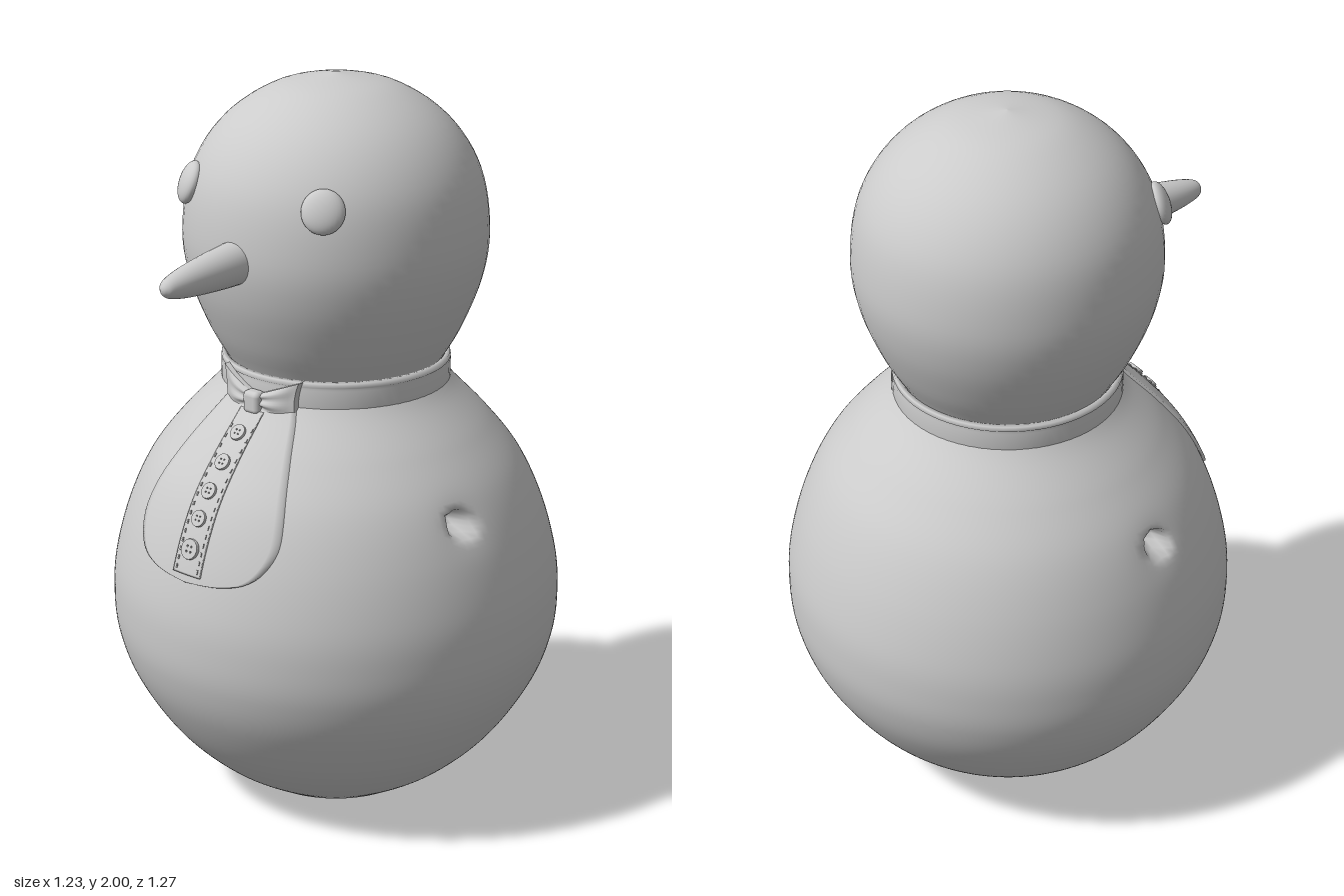
import * as THREE from 'three';
import { mergeVertices } from 'three/addons/utils/BufferGeometryUtils.js';
import { RoundedBoxGeometry } from 'three/addons/geometries/RoundedBoxGeometry.js';

const AXIS_Z = -0.02; // the snowballs sit slightly behind the origin
const material = new THREE.MeshStandardMaterial({ color: 0xcccccc });
const clothMaterial = new THREE.MeshStandardMaterial({ color: 0xcccccc, side: THREE.DoubleSide });

const spline = (pts) => new THREE.SplineCurve(pts.map(([x, y]) => new THREE.Vector2(x, y)));

// Profiles as [radius, height], bottom to top
const bodyCurve = spline([[0.24, 0.012], [0.36, 0.09], [0.472, 0.2], [0.562, 0.34], [0.605, 0.46],
  [0.615, 0.57], [0.605, 0.68], [0.566, 0.82], [0.505, 0.95], [0.42, 1.06], [0.325, 1.16], [0.28, 1.22]]);
const headCurve = spline([[0.265, 1.18], [0.287, 1.235], [0.34, 1.33], [0.39, 1.46], [0.407, 1.59],
  [0.38, 1.75], [0.295, 1.88], [0.16, 1.968], [0, 2]]);

const bodySamples = bodyCurve.getPoints(200);
function bodyRadius(y) {
  const i = Math.max(1, bodySamples.findIndex((p) => p.y >= y));
  const a = bodySamples[i - 1], b = bodySamples[i];
  return THREE.MathUtils.mapLinear(y, a.y, b.y, a.x, b.x);
}
// Front surface of the body at (x, y)
const frontZ = (x, y) => Math.sqrt(bodyRadius(y) ** 2 - x * x) + AXIS_Z;
// Forward-leaning angle of the front surface at height y
const frontTilt = (y) => Math.atan2(bodyRadius(y + 0.02) - bodyRadius(y - 0.02), 0.04);

function add(parent, name, geometry, mat = material) {
  const mesh = new THREE.Mesh(geometry, mat);
  mesh.name = name;
  parent.add(mesh);
  return mesh;
}

// Lower ball with a soft arm socket pressed into each side
function bodyGeometry() {
  let g = new THREE.LatheGeometry(bodyCurve.getSpacedPoints(110), 160, Math.PI);
  g.deleteAttribute('uv');
  g.deleteAttribute('normal');
  g = mergeVertices(g, 1e-4);
  const pos = g.attributes.position, v = new THREE.Vector3();
  const r = bodyRadius(0.9), dz = 0.1;
  for (let i = 0; i < pos.count; i++) {
    v.fromBufferAttribute(pos, i);
    const side = Math.sign(v.x);
    const d = Math.hypot(v.x - side * Math.sqrt(r * r - dz * dz), v.y - 0.9, v.z - dz);
    v.x -= side * 0.065 * Math.exp(-((d / 0.034) ** 4)) + side * 0.008 * Math.exp(-((d / 0.06) ** 2));
    pos.setXYZ(i, v.x, v.y, v.z);
  }
  g.computeVertexNormals();
  return g.translate(0, 0, AXIS_Z);
}

// Cloth panel that hugs the belly; outline is [half width, height] points
function panel(curve, thickness) {
  const g = new THREE.PlaneGeometry(2, 2, 28, 40);
  const pos = g.attributes.position;
  for (let i = 0; i < pos.count; i++) {
    const u = pos.getX(i) * 1.08, v = pos.getY(i) * 1.06;
    const rim = Math.abs(u) > 1.01 || Math.abs(v) > 1.01;
    const p = curve.getPoint((THREE.MathUtils.clamp(v, -1, 1) + 1) / 2);
    const x = p.x * THREE.MathUtils.clamp(u, -1, 1);
    pos.setXYZ(i, x, p.y, frontZ(x, p.y) + (rim ? -0.01 : thickness));
  }
  g.computeVertexNormals();
  return g;
}

// Round button with four thread holes
function buttonGeometry() {
  const s = new THREE.Shape().absarc(0, 0, 0.023, 0, Math.PI * 2);
  for (let k = 0; k < 4; k++) {
    const a = Math.PI / 4 + k * Math.PI / 2;
    s.holes.push(new THREE.Path().absarc(0.009 * Math.cos(a), 0.009 * Math.sin(a), 0.004, 0, Math.PI * 2));
  }
  return new THREE.ExtrudeGeometry(s, { depth: 0.006, bevelEnabled: true, bevelSize: 0.002,
    bevelThickness: 0.002, bevelSegments: 2, curveSegments: 10 });
}

// Pleated bow wing, flaring outward along +x and wrapping round the collar
function wingGeometry() {
  const g = new THREE.BoxGeometry(1, 1, 1, 12, 16, 2);
  const pos = g.attributes.position;
  for (let i = 0; i < pos.count; i++) {
    const t = pos.getX(i) + 0.5, v = pos.getY(i) * 2, w = pos.getZ(i);
    const x = 0.015 + 0.115 * t - 0.012 * t * (1 - v * v);
    const y = 1.18 + v * (0.024 + 0.046 * t);
    const puff = 0.018 + 0.02 * Math.sin(Math.PI * Math.min(1, t + 0.1)) * (1 - v * v);
    const pleat = 0.005 * Math.cos(v * 9) * (1 - t);
    pos.setXYZ(i, x, y, Math.sqrt(0.308 ** 2 - x * x) + AXIS_Z + 0.01 + w * puff + (w > 0 ? pleat : 0));
  }
  g.computeVertexNormals();
  return g;
}

export function createModel() {
  const model = new THREE.Group();
  model.name = 'snowman';

  // Snowballs
  add(model, 'body', bodyGeometry());
  const base = new THREE.LatheGeometry([[0, 0], [0.22, 0.002], [0.242, 0.014]].map((p) => new THREE.Vector2(...p)), 48);
  add(model, 'base', base).position.z = AXIS_Z;
  add(model, 'head', new THREE.LatheGeometry(headCurve.getSpacedPoints(40), 64)).position.z = AXIS_Z;

  // Eyes: flattened pebbles set into the head
  const headCentre = new THREE.Vector3(0, 1.58, AXIS_Z);
  for (const side of [1, -1]) {
    const eye = add(model, side > 0 ? 'leftEye' : 'rightEye', new THREE.SphereGeometry(1, 28, 20));
    eye.scale.set(0.056, 0.058, 0.026);
    eye.position.set(side * 0.23, 1.728, 0.295);
    eye.lookAt(eye.position.clone().multiplyScalar(2).sub(headCentre));
  }

  // Carrot nose
  const noseProfile = spline([[0.058, 0], [0.056, 0.09], [0.049, 0.18], [0.039, 0.26], [0.026, 0.315], [0.012, 0.332], [0, 0.336]]);
  const nose = add(model, 'nose', new THREE.LatheGeometry(noseProfile.getPoints(30), 28));
  nose.position.set(0, 1.575, 0.3);
  nose.rotation.x = Math.PI / 2 + 0.06;

  // Collar band with a folded upper lip
  const collarProfile = [[0.27, 1.165], [0.304, 1.165], [0.309, 1.17], [0.309, 1.228], [0.304, 1.232],
    [0.309, 1.236], [0.307, 1.248], [0.296, 1.25], [0.292, 1.235], [0.27, 1.22]];
  const collarPoints = collarProfile.map((p) => new THREE.Vector2(...p));
  add(model, 'collar', new THREE.LatheGeometry(collarPoints, 64), clothMaterial).position.z = AXIS_Z;
  const tab = add(model, 'collarSeam', new THREE.BoxGeometry(0.012, 0.066, 0.006));
  tab.position.set(0.17, 1.199, AXIS_Z - 0.257);
  tab.rotation.y = Math.atan2(0.17, -0.257);

  // Shirt front and button strip
  const bibOutline = spline([[0.001, 0.755], [0.12, 0.766], [0.195, 0.795], [0.232, 0.86], [0.224, 0.935],
    [0.188, 1.03], [0.145, 1.12], [0.11, 1.185]]);
  add(model, 'shirtFront', panel(bibOutline, 0.01), clothMaterial);
  add(model, 'buttonStrip', panel(spline([[0.048, 0.775], [0.046, 0.96], [0.04, 1.16]]), 0.013), clothMaterial);

  // Stitches along the strip
  const stitches = new THREE.Group();
  stitches.name = 'stitches';
  model.add(stitches);
  const stitchGeometry = new THREE.BoxGeometry(0.004, 0.011, 0.004);
  for (const side of [1, -1]) {
    for (let y = 0.79; y < 1.13; y += 0.022) {
      const stitch = add(stitches, 'stitch', stitchGeometry);
      stitch.position.set(side * 0.036, y, frontZ(0.036, y) + 0.014);
      stitch.rotation.x = frontTilt(y);
    }
  }

  // Buttons
  const button = buttonGeometry();
  for (const y of [1.11, 1.045, 0.98, 0.915, 0.84]) {
    const b = add(model, 'button', button);
    b.position.set(0, y, frontZ(0, y) + 0.015);
    b.rotation.x = frontTilt(y);
    b.scale.setScalar(y < 0.9 ? 1.1 : 0.9);
  }

  // Bow tie
  const bow = new THREE.Group();
  bow.name = 'bowTie';
  model.add(bow);
  const wing = wingGeometry();
  add(bow, 'leftWing', wing);
  add(bow, 'rightWing', wing).scale.x = -1;
  add(bow, 'knot', new RoundedBoxGeometry(0.054, 0.062, 0.04, 4, 0.014)).position.set(0, 1.18, 0.306);

  return model;
}
